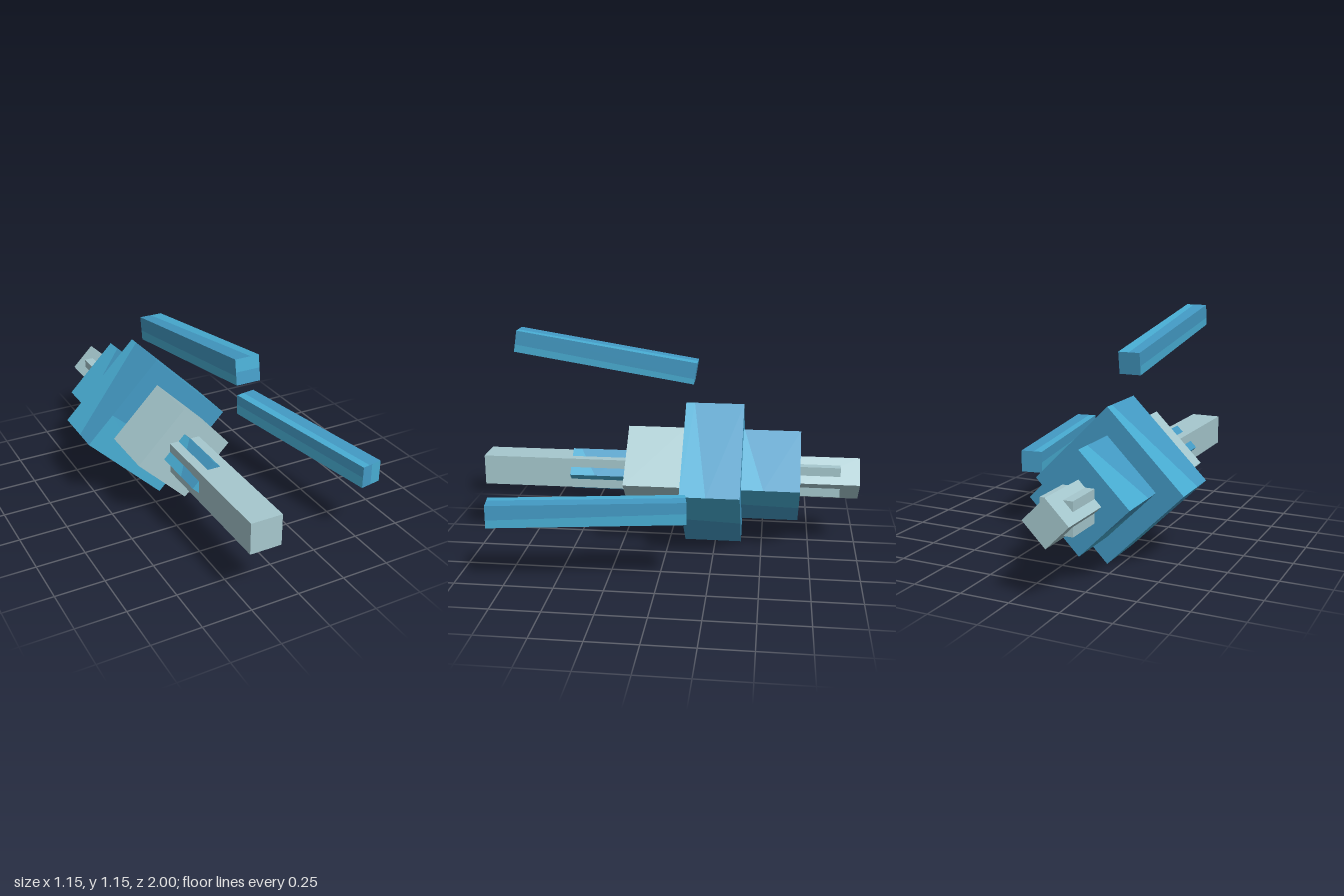
import * as THREE from 'three';

const mat = (name, color) => {
  const m = new THREE.MeshStandardMaterial({ color });
  m.name = name;
  return m;
};

// Square-section prism along z with corners at +x, +y, -x, -y.
// Each face is [f, g, first, second, lengthwise]: a line between fractions f and g
// of two opposite edges divides it into two tones (material indices).
function prism(name, r, back, front, faces, materials) {
  const corner = (k, z) => {
    const a = (k % 4) * Math.PI / 2;
    return new THREE.Vector3(r * Math.cos(a), r * Math.sin(a), z);
  };
  const quads = [0, 1, 2, 3].map(k =>
    [corner(k, front), corner(k, back), corner(k + 1, back), corner(k + 1, front)]);
  quads.push([3, 0, 1, 2].map(k => corner(k, front)));
  quads.push([3, 2, 1, 0].map(k => corner(k, back)));

  const positions = [];
  const geometry = new THREE.BufferGeometry();
  const addQuad = (a, b, c, d, index) => {
    geometry.addGroup(positions.length / 3, 6, index);
    for (const p of [a, b, c, a, c, d]) positions.push(p.x, p.y, p.z);
  };
  quads.forEach((q, i) => {
    const [f, g, first, second, lengthwise] = faces[i];
    const [a, b, c, d] = lengthwise ? [q[1], q[2], q[3], q[0]] : q;
    const m = a.clone().lerp(b, f), n = d.clone().lerp(c, g);
    addQuad(a, m, n, d, first);
    addQuad(m, b, c, n, second);
  });
  geometry.setAttribute('position', new THREE.Float32BufferAttribute(positions, 3));
  geometry.computeVertexNormals();
  const mesh = new THREE.Mesh(geometry, materials);
  mesh.name = name;
  return mesh;
}

export function createModel() {
  const grey = mat('pale grey', 0xa6c8ce);
  const blues = [mat('medium blue', 0x439ac4), mat('light blue', 0x48add3)];
  const model = new THREE.Group();
  model.name = 'model';
  const body = new THREE.Group();
  body.name = 'body';
  body.position.set(-0.187, 0.39, 0);
  model.add(body);

  const greyBlock = (name, size, back, front, turn) => {
    const mesh = new THREE.Mesh(new THREE.BoxGeometry(size, size, front - back), grey);
    mesh.name = name;
    mesh.position.z = (front + back) / 2;
    mesh.rotation.z = turn;
    body.add(mesh);
  };

  // Central shaft and grey collars
  greyBlock('shaft', 0.16, -0.9, 1, 0);
  greyBlock('frontCollar', 0.25 * Math.SQRT2, -0.085, 0.22, Math.PI / 4);
  greyBlock('tail', 0.113 * Math.SQRT2, -1, -0.69, Math.PI / 4);

  // Blue stepped hull; faces: upper left, upper right, lower right, lower left, front, back
  const hull = [
    [0.44, 0.15, 1, 0],
    [0.83, 0.4, 0, 1],
    [0.5, 0.5, 0, 1, true],
    [0.45, 0.5, 0, 1, true],
    [0.4, 0.35, 1, 0],
    [0.5, 0.5, 0, 0],
  ];
  const rearHull = hull.slice();
  rearHull[0] = [0.38, 0.02, 1, 0];
  rearHull[1] = [0.7, 0.3, 0, 1];
  body.add(
    prism('mainHull', 0.388, -0.39, -0.085, hull, blues),
    prism('rearHull', 0.25, -0.69, -0.39, rearHull, blues),
    prism('frontRing', 0.113, 0.22, 0.525, hull, blues));

  // Two detached splayed bars, above and to the left of the body
  const barFaces = [
    [0.5, 0.35, 1, 0, true],
    [0.6, 0.65, 0, 1, true],
    [0.5, 0.5, 0, 1, true],
    [0.25, 0.35, 1, 0, true],
    [0.5, 0.5, 0, 1],
    [0.5, 0.5, 0, 0],
  ];
  [['upperBar', 0], ['leftBar', -Math.PI / 2]].forEach(([name, turn]) => {
    const arm = new THREE.Group();
    arm.name = name;
    arm.rotation.z = turn;
    const tilt = new THREE.Group();
    tilt.position.set(0, 0.63, 0.335);
    tilt.rotation.x = -0.157;
    const bar = prism(name + 'Block', 0.113 / Math.SQRT2, -0.478, 0.478, barFaces, blues);
    bar.rotation.z = Math.PI / 4;
    tilt.add(bar);
    arm.add(tilt);
    body.add(arm);
  });

  return model;
}
